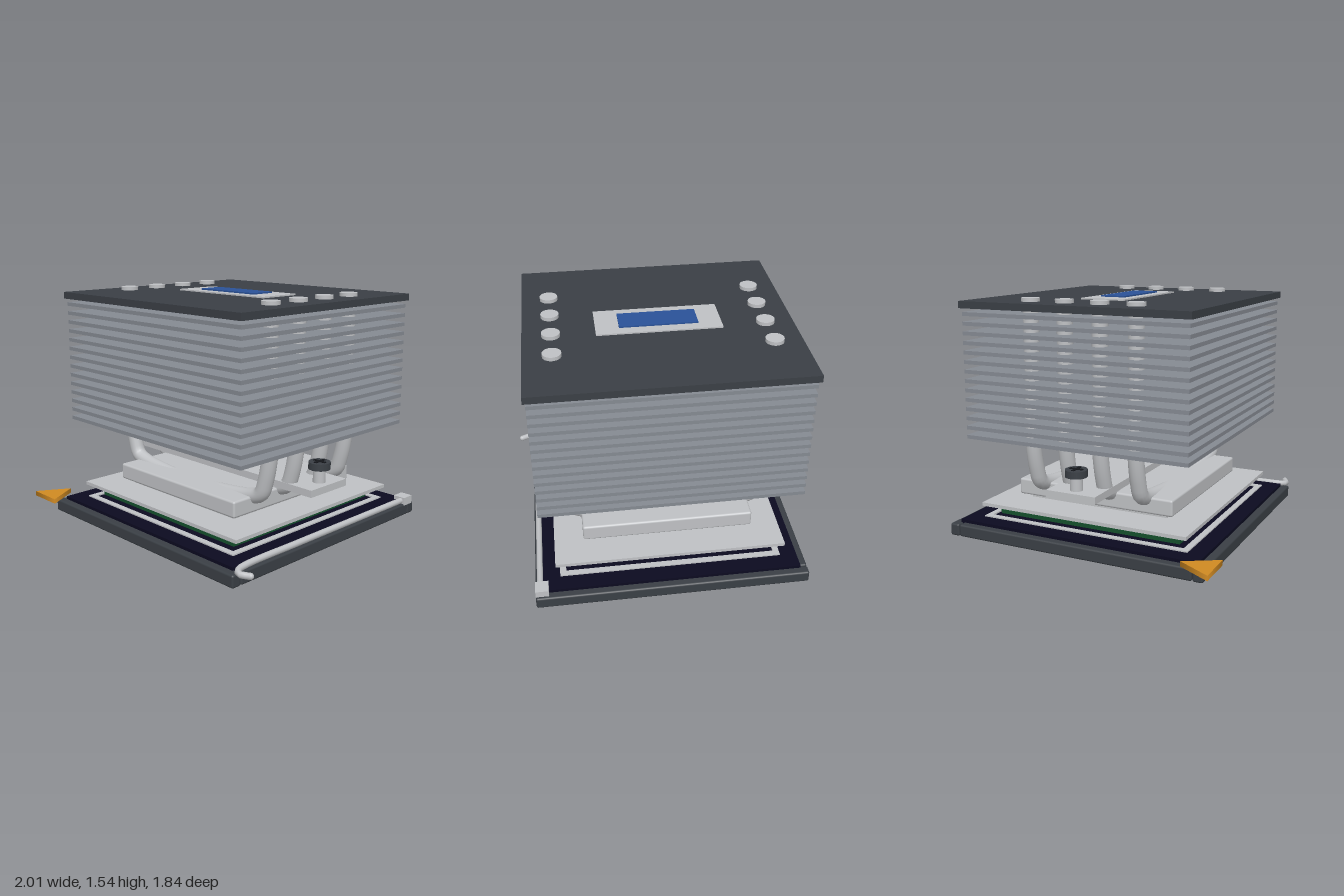
import * as THREE from 'three';
import { RoundedBoxGeometry } from 'three/addons/geometries/RoundedBoxGeometry.js';

const mat = (name, color) => {
  const m = new THREE.MeshStandardMaterial({ color });
  m.name = name;
  return m;
};

export function createModel() {
  const slate = mat('slate', 0x3a3f45);
  const silver = mat('silver', 0xbfc1c4);
  const finGrey = mat('fin grey', 0x858a92);
  const navy = mat('socket navy', 0x0b0a20);
  const green = mat('board green', 0x14502c);
  const gold = mat('gold', 0xd08a22);
  const blue = mat('badge blue', 0x2a5298);
  const nickel = mat('nickel', 0x9a9ea5);
  const black = mat('component black', 0x15171c);

  const model = new THREE.Group();
  model.name = 'towerCooler';
  const body = new THREE.Group();
  body.name = 'coolerAndSocket';
  body.position.set(0.02, 0, -0.04);
  model.add(body);

  const add = (name, geo, m, x = 0, y = 0, z = 0) => {
    const mesh = new THREE.Mesh(geo, m);
    mesh.name = name;
    mesh.position.set(x, y, z);
    body.add(mesh);
    return mesh;
  };
  // Box given by its half widths and its bottom and top heights
  const slab = (name, m, hx, hz, y0, y1, x = 0, z = 0, r = 0) => add(name,
    r ? new RoundedBoxGeometry(hx * 2, y1 - y0, hz * 2, 2, r)
      : new THREE.BoxGeometry(hx * 2, y1 - y0, hz * 2), m, x, (y0 + y1) / 2, z);
  const disc = (name, m, r, y0, y1, x, z, n = 24) =>
    add(name, new THREE.CylinderGeometry(r, r, y1 - y0, n), m, x, (y0 + y1) / 2, z);

  // Socket with its frame bars
  slab('socketBase', navy, 0.83, 0.83, 0.004, 0.1);
  for (const s of [-1, 1]) {
    slab('frameBar', slate, 0.88, 0.0325, 0, 0.08, 0, s * 0.8475, 0.012);
    slab('frameSideBar', slate, 0.035, 0.81, 0, 0.08, s * 0.845, 0, 0.012);
  }

  // Thin contact ring around the board
  const ring = new THREE.Shape();
  const square = (p, h) => p.moveTo(-h, -h).lineTo(h, -h).lineTo(h, h).lineTo(-h, h).closePath();
  square(ring, 0.72);
  const hole = new THREE.Path();
  square(hole, 0.68);
  ring.holes.push(hole);
  add('contactRing', new THREE.ExtrudeGeometry(ring, { depth: 0.008, bevelEnabled: false }),
    silver, 0, 0.1, 0).rotation.x = -Math.PI / 2;

  // Locking lever and hinge block
  const lever = new THREE.CatmullRomCurve3([
    [0.85, 0.1, -0.82], [0.85, 0.1, -0.3], [0.85, 0.1, 0.3], [0.85, 0.098, 0.74],
    [0.865, 0.095, 0.82], [0.9, 0.09, 0.85], [0.965, 0.09, 0.825],
  ].map(p => new THREE.Vector3(...p)));
  add('lockLever', new THREE.TubeGeometry(lever, 60, 0.02, 10), silver);
  add('leverTip', new THREE.SphereGeometry(0.02, 10, 8), silver, 0.965, 0.09, 0.825);
  slab('leverHinge', silver, 0.042, 0.045, 0.07, 0.125, 0.838, -0.815);

  // Corner pointer
  disc('cornerPointer', gold, 0.14, 0.09, 0.122, -0.9, 0.89, 3).rotation.y = Math.PI;

  // Processor board with small components along its edges
  slab('boardPad', navy, 0.62, 0.62, 0.1, 0.112);
  slab('board', green, 0.645, 0.64, 0.112, 0.143);
  for (let i = -3; i <= 3; i++) {
    for (const s of [-1, 1]) {
      slab('component', black, 0.025, 0.015, 0.143, 0.16, i * 0.15, s * 0.595);
      slab('component', black, 0.015, 0.025, 0.143, 0.16, s * 0.595, i * 0.145);
    }
  }
  disc('boardMarker', gold, 0.09, 0.143, 0.166, -0.575, 0.54, 3).rotation.y = Math.PI;
  slab('heatSpreader', nickel, 0.555, 0.55, 0.143, 0.182);

  // Mounting plate, cold plate and base block
  slab('mountingPlate', silver, 0.745, 0.72, 0.182, 0.205);
  slab('coldPlate', silver, 0.495, 0.49, 0.205, 0.24);
  slab('baseBlock', silver, 0.555, 0.55, 0.235, 0.342, 0, 0, 0.014);
  slab('mountingBar', silver, 0.835, 0.17, 0.347, 0.393);

  for (const s of [-1, 1]) {
    // Spring screws with a cross recess
    const x = s * 0.755;
    disc('screwShaft', silver, 0.04, 0.39, 0.485, x, 0);
    disc('screwHead', slate, 0.07, 0.48, 0.525, x, 0);
    slab('screwSlot', black, 0.045, 0.01, 0.523, 0.53, x, 0);
    slab('screwSlot', black, 0.01, 0.045, 0.523, 0.53, x, 0);

    // Heat pipes rising from the base through the fins
    for (const z of [-0.36, -0.12, 0.12, 0.36]) {
      const path = new THREE.CatmullRomCurve3([
        [0, 0.285], [0.3, 0.3], [0.52, 0.33], [0.6, 0.365], [0.635, 0.45],
        [0.67, 0.65], [0.66, 1.0], [0.66, 1.3], [0.66, 1.52],
      ].map(([px, py]) => new THREE.Vector3(s * px, py, z)));
      add('heatPipe', new THREE.TubeGeometry(path, 64, 0.05, 16), silver);
      disc('pipeCap', silver, 0.057, 1.5, 1.543, s * 0.66, z);
    }
  }

  // Fin stack, cover plate and badge
  for (let i = 0; i < 14; i++) {
    const y = 0.66 + i * 0.06;
    slab('fin', finGrey, 0.82, 0.76, y - 0.012, y + 0.012);
  }
  slab('coverPlate', slate, 0.835, 0.775, 1.476, 1.52);
  slab('badgePlate', silver, 0.39, 0.15, 1.52, 1.529, 0, -0.01);
  slab('badge', blue, 0.245, 0.085, 1.529, 1.538, 0, -0.01);

  return model;
}
